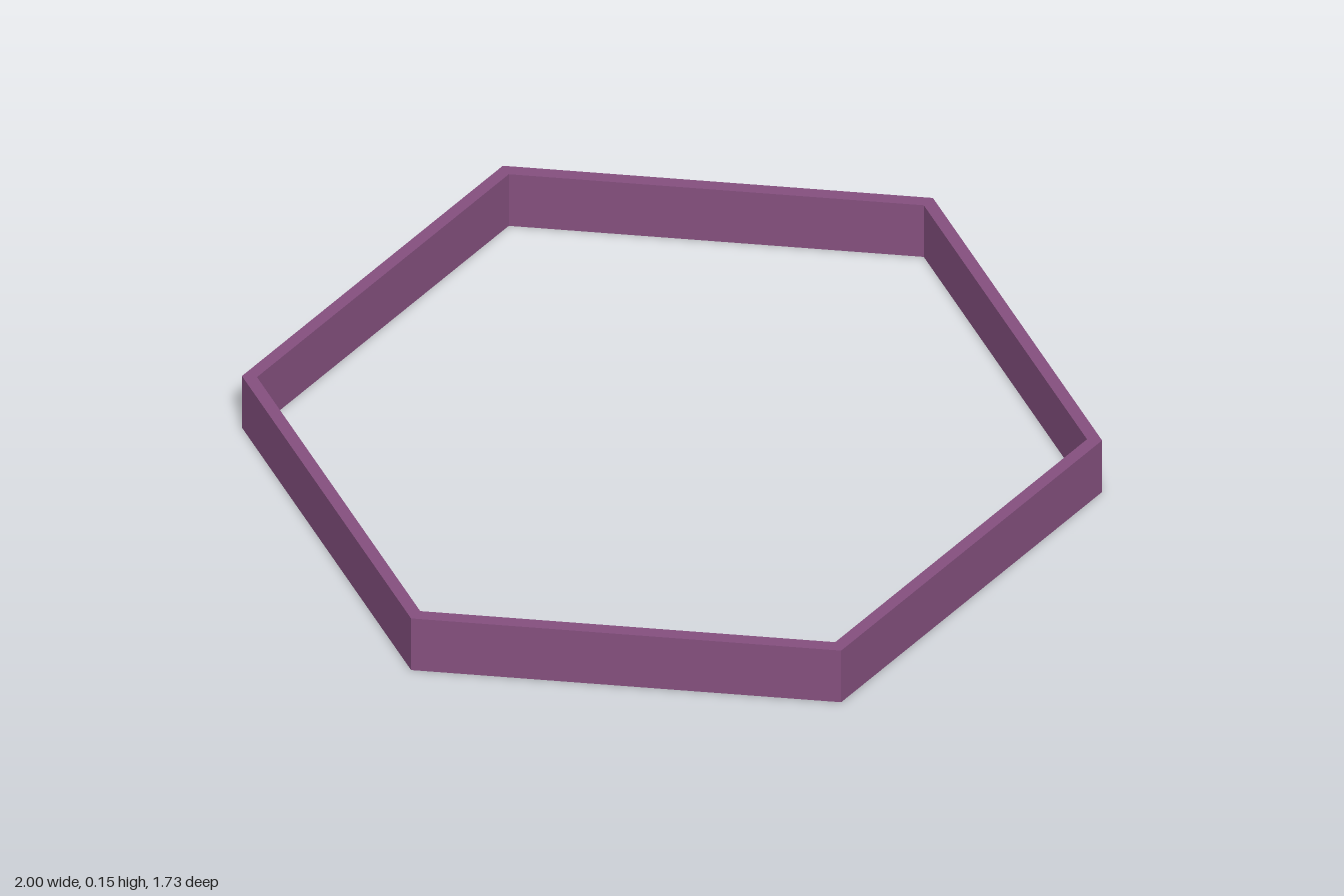
import * as THREE from 'three';

const SIDES = 6;
const OUTER = 1;
const INNER = 0.965;
const HEIGHT = 0.15;

// Corners of a regular polygon, with one corner on the +x axis
function corners(radius) {
  return Array.from({ length: SIDES }, (_, i) => {
    const a = (i / SIDES) * Math.PI * 2;
    return new THREE.Vector2(Math.cos(a) * radius, Math.sin(a) * radius);
  });
}

export function createModel() {
  const group = new THREE.Group();
  group.name = 'hexagonFrame';

  // Thin hexagonal wall, open at top and bottom
  const outline = new THREE.Shape(corners(OUTER));
  outline.holes.push(new THREE.Path(corners(INNER).reverse()));
  const geometry = new THREE.ExtrudeGeometry(outline, { depth: HEIGHT, bevelEnabled: false });
  geometry.rotateX(-Math.PI / 2);

  const material = new THREE.MeshStandardMaterial({ color: 0x85507f, flatShading: true });
  const rim = new THREE.Mesh(geometry, material);
  rim.name = 'hexagonalRim';
  group.add(rim);
  return group;
}
